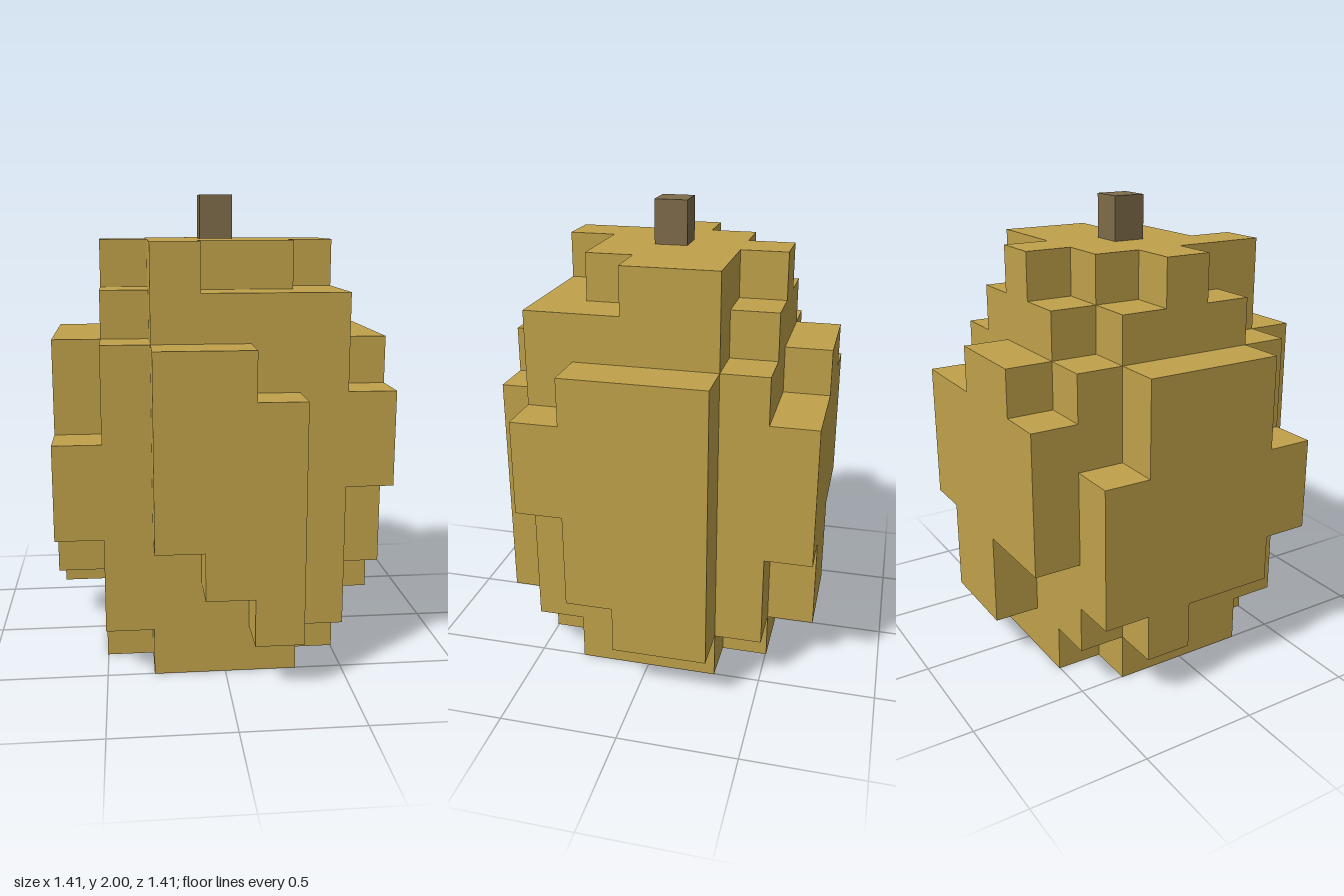
import * as THREE from 'three';
import { mergeGeometries } from 'three/addons/utils/BufferGeometryUtils.js';

const U = 0.2013; // edge of one block

// Each column of blocks runs from a bottom layer to a top layer.
// Rows go from back to front, characters from -x to +x; '-' is empty.
const BOTTOM = ['-33113-', '210001-', '1000001', '2000001', '2000002', '3100014', '--321--'];
const TOP = ['-67766-', '578987-', '7899997', '7999997', '7899987', '5798886', '--776--'];

function filled(i, j, k) {
  const lo = BOTTOM[k]?.[i] ?? '-';
  return lo !== '-' && j >= Number(lo) && j < Number(TOP[k][i]);
}

// One square facing +z, turned to each of the six directions
const SIDES = [
  [0, 0, 1, 0, 0], [0, 0, -1, 0, Math.PI],
  [1, 0, 0, 0, Math.PI / 2], [-1, 0, 0, 0, -Math.PI / 2],
  [0, 1, 0, -Math.PI / 2, 0], [0, -1, 0, Math.PI / 2, 0],
];

// Outer skin of the blocks: a square wherever a block has no neighbour
function blockSkin() {
  const faces = [];
  for (let k = 0; k < 7; k++) for (let i = 0; i < 7; i++) for (let j = 0; j < 9; j++) {
    if (!filled(i, j, k)) continue;
    for (const [dx, dy, dz, rx, ry] of SIDES) {
      if (filled(i + dx, j + dy, k + dz)) continue;
      const face = new THREE.PlaneGeometry(U, U);
      face.rotateX(rx).rotateY(ry);
      face.translate((i - 3 + dx / 2) * U, (j + 0.5 + dy / 2) * U, (k - 3 + dz / 2) * U);
      faces.push(face);
    }
  }
  return mergeGeometries(faces);
}

export function createModel() {
  const group = new THREE.Group();
  group.name = 'blockFruit';

  const skin = new THREE.MeshStandardMaterial({ color: 0xc0a24a });
  skin.name = 'ochre skin';
  const bark = new THREE.MeshStandardMaterial({ color: 0x7e6c4b });
  bark.name = 'brown stem';

  // Blocky body
  const body = new THREE.Mesh(blockSkin(), skin);
  body.name = 'body';
  group.add(body);

  // Short square stem
  const base = 9 * U;
  const stem = new THREE.Mesh(new THREE.BoxGeometry(0.141, 2 - base, 0.141), bark);
  stem.position.y = (2 + base) / 2;
  stem.name = 'stem';
  group.add(stem);

  return group;
}
